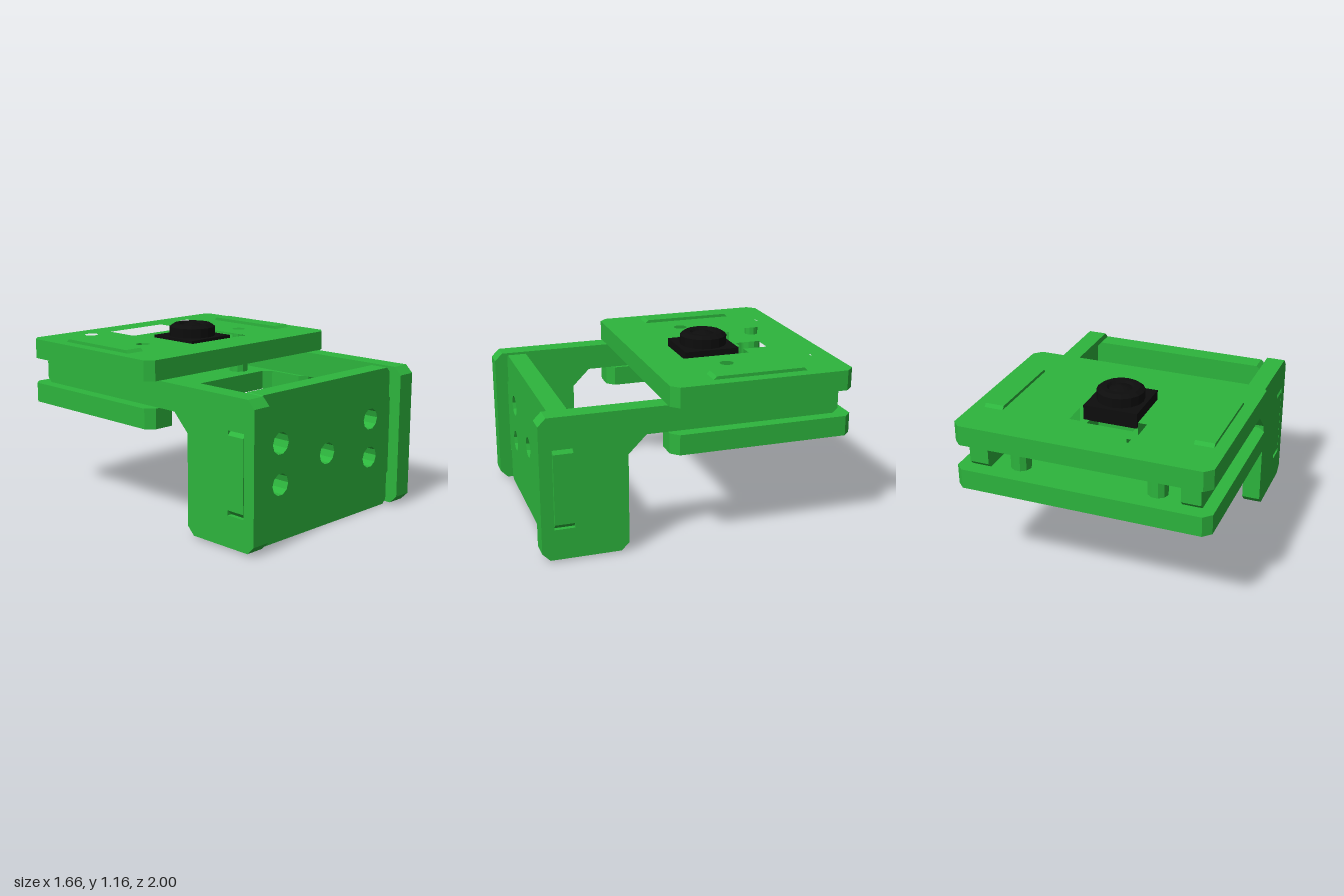
import * as THREE from 'three';

const green = new THREE.MeshStandardMaterial({ color: 0x2db53d, flatShading: true });
const black = new THREE.MeshStandardMaterial({ color: 0x0d0d0d, flatShading: true });

// Polygon corners [x, y, chamfer]; a chamfer cuts the corner by that distance
function outline(corners) {
  const pts = [];
  corners.forEach(([x, y, c = 0], i) => {
    const p = new THREE.Vector2(x, y);
    if (!c) return pts.push(p);
    for (const step of [-1, 1]) {
      const [qx, qy] = corners[(i + step + corners.length) % corners.length];
      pts.push(p.clone().add(new THREE.Vector2(qx, qy).sub(p).setLength(c)));
    }
  });
  return pts;
}

function circle(x, y, r, n = 10) {
  return Array.from({ length: n }, (_, i) => {
    const a = (i / n) * Math.PI * 2;
    return new THREE.Vector2(x + r * Math.cos(a), y + r * Math.sin(a));
  });
}

function extrude(points, holes, depth) {
  const shape = new THREE.Shape(points);
  shape.holes = holes.map((h) => new THREE.Path(h));
  return new THREE.ExtrudeGeometry(shape, { depth, bevelEnabled: false });
}

export function createModel() {
  const model = new THREE.Group();
  const add = (name, geometry, material = green) => {
    const mesh = new THREE.Mesh(geometry, material);
    mesh.name = name;
    model.add(mesh);
    return mesh;
  };
  // Horizontal slab drawn in (x, z)
  const slab = (name, corners, holes, y0, y1) => {
    const flip = (p) => new THREE.Vector2(p.x, -p.y);
    const g = extrude(outline(corners).map(flip), holes.map((h) => h.map(flip)), y1 - y0);
    add(name, g.rotateX(-Math.PI / 2).translate(0, y0, 0));
  };

  const screws = [];
  for (const x of [-0.45, 0.45]) for (const z of [-0.83, -0.29]) screws.push([x, z]);
  const screwHoles = screws.map(([x, z]) => circle(x, z, 0.046));

  // Top plate in two layers: stepped pocket for the camera
  const plate = [[-0.83, -1, 0.05], [0.83, -1, 0.05], [0.83, 0.2, 0.05], [-0.83, 0.2, 0.05]];
  const pocket = outline([[-0.28, -0.83], [0.19, -0.83], [0.19, -0.51], [0.28, -0.51],
    [0.28, -0.06], [-0.22, -0.06], [-0.22, -0.57], [-0.28, -0.57]]);
  const opening = outline([[-0.24, -0.8], [0.14, -0.8], [0.14, -0.2], [-0.17, -0.2],
    [-0.17, -0.63], [-0.24, -0.63]]);
  slab('topPlate', plate, [...screwHoles, pocket], 0.97, 1.06);
  slab('topPlateLedge', plate, [...screwHoles, opening], 0.93, 0.97);

  // Bottom plate, notched at the front between the arms
  slab('bottomPlate', [[-0.83, -1, 0.05], [0.83, -1, 0.05], [0.83, 0.2, 0.05], [0.6, 0.2, 0.05],
    [0.6, -0.15, 0.05], [-0.6, -0.15, 0.05], [-0.6, 0.2, 0.05], [-0.83, 0.2, 0.05]],
  screwHoles, 0.63, 0.76);

  // Hollow spacers around the screws
  screws.forEach(([x, z]) => {
    const g = extrude(circle(x, -z, 0.065), [circle(x, -z, 0.046)], 0.17);
    add('spacer', g.rotateX(-Math.PI / 2).translate(0, 0.76, 0));
  });

  // Side arms drawn in (-z, y), with tabs through both plates and slots for the panel
  const arm = outline([[-1, 0.01, 0.05], [-0.45, 0.01, 0.05], [-0.45, 0.645], [-0.335, 0.76],
    [0.08, 0.76], [0.08, 0.61, 0.03], [0.72, 0.61, 0.03], [0.72, 0.76],
    [0.93, 0.76, 0.03], [0.93, 0.93, 0.03], [0.72, 0.93], [0.72, 1.08, 0.03],
    [0.08, 1.08, 0.03], [0.08, 0.93], [-1, 0.93, 0.05]]);
  const slot = outline([[-0.92, 0.21], [-0.79, 0.21], [-0.79, 0.725], [-0.92, 0.725]]);
  for (const [name, x] of [['leftArm', 0.625], ['rightArm', -0.75]]) {
    add(name, extrude(arm, [slot], 0.125).rotateY(Math.PI / 2).translate(x, 0, 0));
  }

  // Front panel with side tabs and five holes
  const half = [[0.62, 0, 0.03], [0.62, 0.21], [0.75, 0.21, 0.03],
    [0.75, 0.725, 0.03], [0.62, 0.725], [0.62, 0.925, 0.03]];
  const mirrored = half.map(([x, y, c]) => [-x, y, c]).reverse();
  const bolts = [[-0.43, 0.61], [0.43, 0.61], [-0.43, 0.355], [0.43, 0.355], [0, 0.465]];
  add('frontPanel', extrude(outline([...half, ...mirrored]),
    bolts.map(([x, y]) => circle(x, y, 0.07)), 0.125).translate(0, 0, 0.79));

  // Camera: square housing with a stepped lens
  add('cameraHousing', new THREE.BoxGeometry(0.36, 0.1, 0.37).translate(0, 1.018, -0.295), black);
  const profile = [[0, 1.06], [0.155, 1.06], [0.155, 1.13], [0.125, 1.15], [0.09, 1.15],
    [0.075, 1.135], [0.05, 1.145], [0, 1.16]].map(([r, y]) => new THREE.Vector2(r, y));
  add('cameraLens', new THREE.LatheGeometry(profile, 16).translate(0, 0, -0.295), black);

  return model;
}
